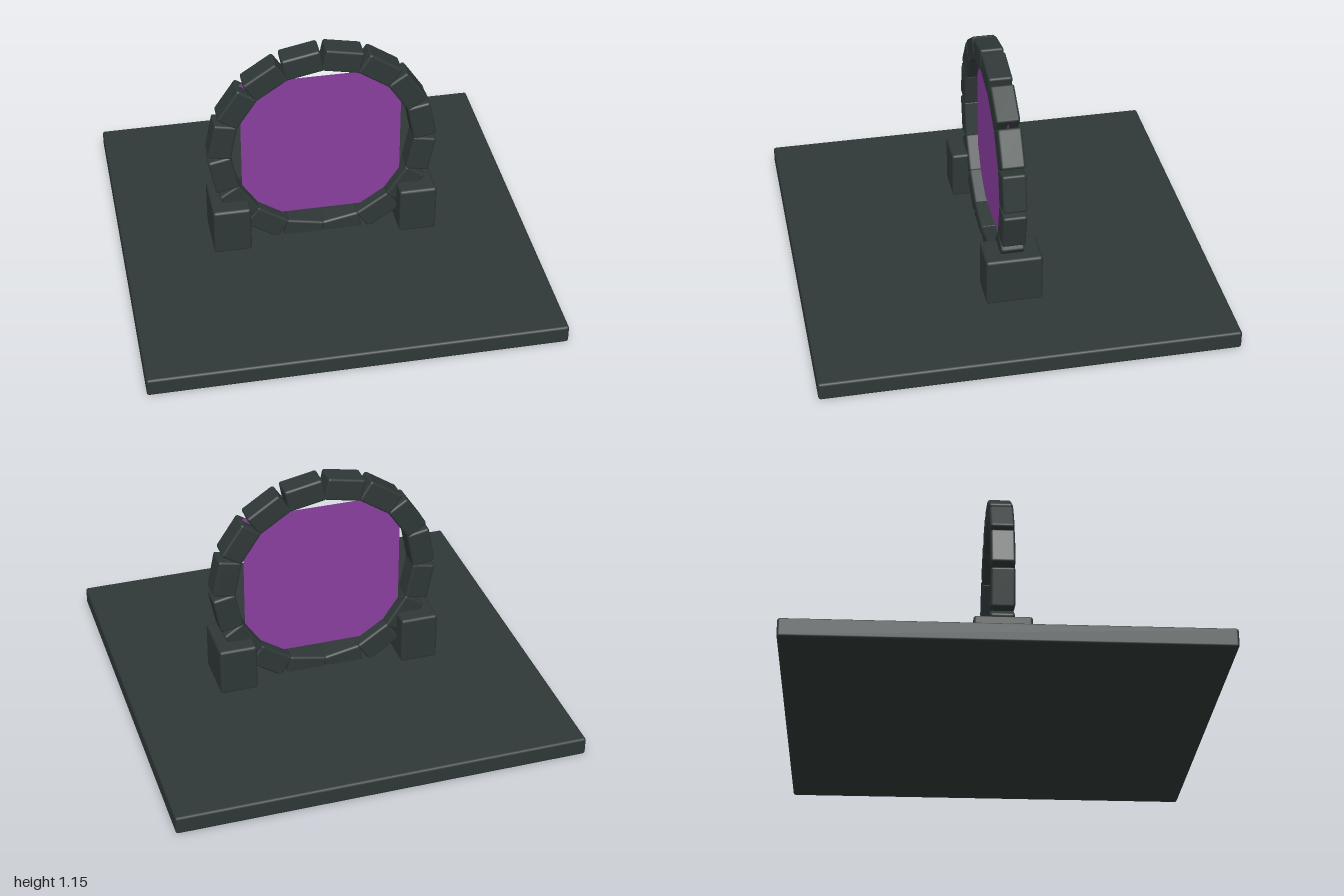
import * as THREE from 'three';
import { RoundedBoxGeometry } from 'three/addons/geometries/RoundedBoxGeometry.js';

const RING_Y = 0.59, RING_RADIUS = 0.5, STONES = 16;

export function createModel() {
  const model = new THREE.Group();
  model.name = 'stonePortal';
  const stone = new THREE.MeshStandardMaterial({ color: 0x2f3837 });
  stone.name = 'dark stone';
  const glow = new THREE.MeshStandardMaterial({ color: 0x8a3fa0, side: THREE.DoubleSide });
  glow.name = 'portal purple';

  const add = (parent, name, geometry, material, x, y, z) => {
    const mesh = new THREE.Mesh(geometry, material);
    mesh.name = name;
    mesh.position.set(x, y, z);
    parent.add(mesh);
    return mesh;
  };

  // Square floor slab
  add(model, 'base', new RoundedBoxGeometry(2, 0.09, 2, 2, 0.012), stone, 0, 0.045, 0);

  // Ring of bevelled stones, with joints at the top, bottom and sides
  const ring = new THREE.Group();
  ring.name = 'stoneRing';
  ring.position.y = RING_Y;
  model.add(ring);
  const stoneGeometry = new RoundedBoxGeometry(0.115, 0.19, 0.115, 2, 0.012);
  for (let i = 0; i < STONES; i++) {
    const a = ((i + 0.5) / STONES) * Math.PI * 2;
    const block = add(ring, 'ringStone', stoneGeometry, stone,
      Math.cos(a) * RING_RADIUS, Math.sin(a) * RING_RADIUS, 0);
    block.rotation.z = a;
  }

  // Supporting blocks on both sides
  const footGeometry = new RoundedBoxGeometry(0.187, 0.245, 0.274, 2, 0.014);
  for (const side of [-1, 1]) {
    add(model, side > 0 ? 'leftSupport' : 'rightSupport', footGeometry, stone, side * 0.465, 0.207, 0);
  }

  // Flat portal surface, its corners hidden inside the ring
  add(model, 'portalSurface', new THREE.PlaneGeometry(0.79, 0.79), glow, 0, 0.585, 0);

  return model;
}
